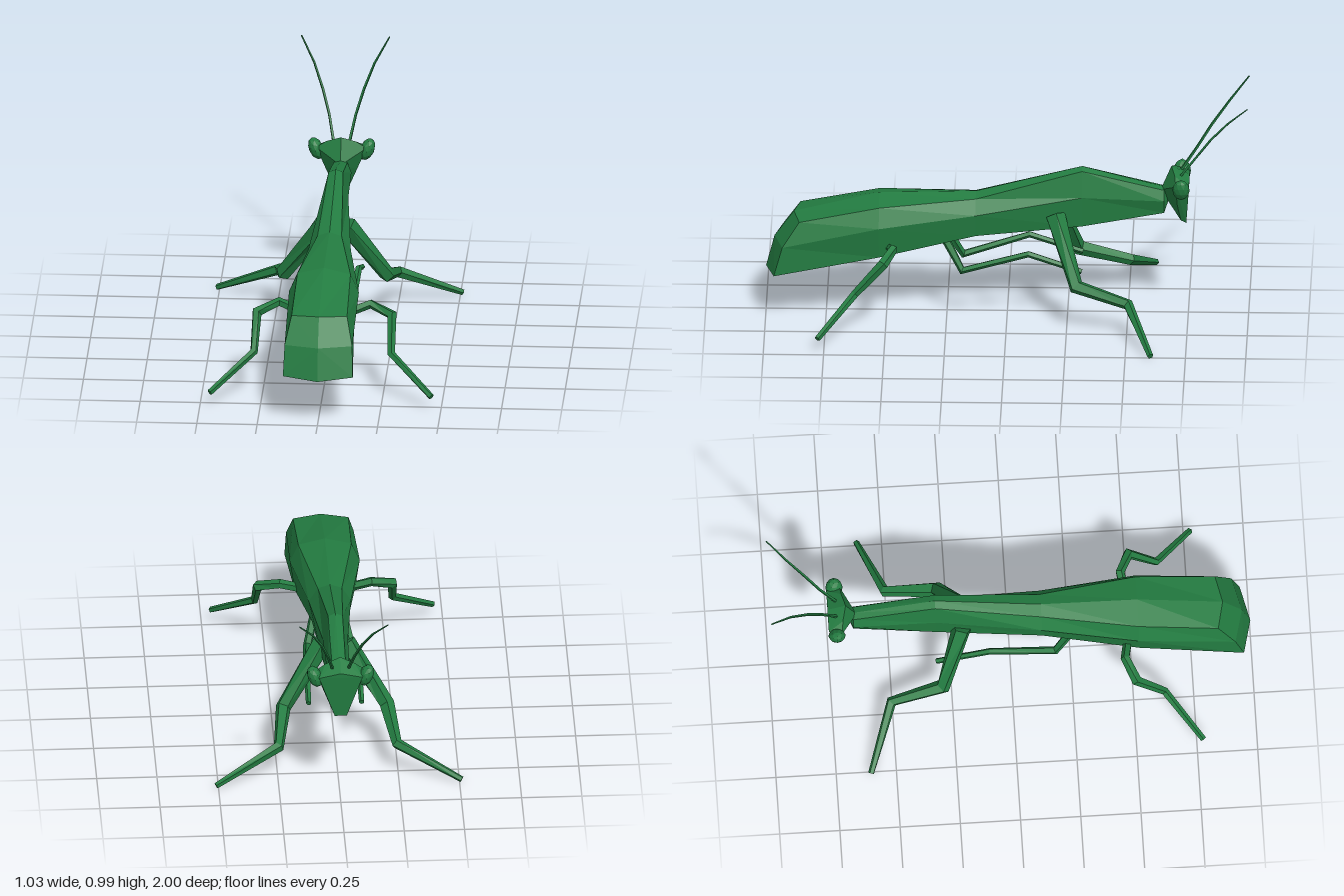
import * as THREE from 'three';
import { ConvexGeometry } from 'three/addons/geometries/ConvexGeometry.js';

const V = (x, y, z) => new THREE.Vector3(x, y, z);

// Skin a list of equal-sized rings and close both ends with fans
function loft(rings, startCentre, endCentre) {
  const pos = [];
  const tri = (...p) => p.forEach(q => pos.push(q.x, q.y, q.z));
  const n = rings[0].length, last = rings.length - 1;
  for (let j = 0; j < n; j++) {
    const k = (j + 1) % n;
    for (let i = 0; i < last; i++) {
      const a = rings[i], b = rings[i + 1];
      tri(a[j], a[k], b[k]);
      tri(a[j], b[k], b[j]);
    }
    tri(startCentre, rings[0][k], rings[0][j]);
    tri(endCentre, rings[last][j], rings[last][k]);
  }
  const g = new THREE.BufferGeometry();
  g.setAttribute('position', new THREE.Float32BufferAttribute(pos, 3));
  g.computeVertexNormals();
  return g;
}

// Jointed tapering limb with mitred joints
function limb(path, radii, sides) {
  const pts = path.map(p => V(...p));
  const dir = i => pts[i + 1].clone().sub(pts[i]).normalize();
  const rings = pts.map((p, i) => {
    const t = V(0, 0, 0);
    if (i > 0) t.add(dir(i - 1));
    if (i < pts.length - 1) t.add(dir(i));
    t.normalize();
    const u = V(0, 1, 0).cross(t).normalize();
    const v = t.clone().cross(u);
    return Array.from({ length: sides }, (_, j) => {
      const a = (j + 0.5) / sides * Math.PI * 2;
      return p.clone()
        .addScaledVector(u, Math.cos(a) * radii[i])
        .addScaledVector(v, Math.sin(a) * radii[i]);
    });
  });
  return loft(rings, pts[0], pts[pts.length - 1]);
}

export function createModel() {
  const model = new THREE.Group();
  model.name = 'mantis';
  const green = new THREE.MeshStandardMaterial({ color: 0x237c41, flatShading: true });
  green.name = 'leafGreen';
  const add = (name, geometry) => {
    const mesh = new THREE.Mesh(geometry, green);
    mesh.name = name;
    model.add(mesh);
    return mesh;
  };

  // Body: half sections (top, shoulder, side, lower edge, belly), tail to neck
  const flat = (z, ...p) => p.map(([x, y]) => [x, y, z]);
  const sections = [
    [[0, 0.44, 0.885], [0.115, 0.435, 0.86], [0.14, 0.33, 0.93], [0.145, 0.205, 0.965], [0, 0.195, 1]],
    flat(0.53, [0, 0.527], [0.11, 0.5], [0.145, 0.42], [0.125, 0.285], [0, 0.275]),
    flat(0.13, [0, 0.537], [0.05, 0.52], [0.088, 0.46], [0.075, 0.365], [0, 0.353]),
    flat(-0.31, [0, 0.652], [0.03, 0.64], [0.052, 0.53], [0.045, 0.4], [0, 0.39]),
    flat(-0.65, [0, 0.565], [0.028, 0.558], [0.045, 0.515], [0.03, 0.458], [0, 0.452]),
  ];
  const rings = sections.map(s => [
    ...s.map(p => V(...p)),
    ...s.slice(1, -1).reverse().map(([x, y, z]) => V(-x, y, z)),
  ]);
  add('body', loft(rings, V(0, 0.33, 0.965), V(0, 0.51, -0.67)));

  // Triangular head
  const head = [V(0, 0.657, -0.68), V(0, 0.62, -0.755), V(0, 0.55, -0.635)];
  for (const s of [1, -1]) {
    head.push(V(s * 0.06, 0.635, -0.695), V(s * 0.105, 0.605, -0.7), V(s * 0.09, 0.6, -0.755),
      V(s * 0.065, 0.51, -0.705), V(s * 0.03, 0.425, -0.72), V(s * 0.025, 0.412, -0.742));
  }
  add('head', new ConvexGeometry(head));

  // Paired parts
  const limbs = {
    frontLeg: [[[0.05, 0.45, -0.2], [0.215, 0.2, -0.29], [0.245, 0.135, -0.505], [0.51, 0.013, -0.605]],
      [0.042, 0.033, 0.024, 0.013], 5],
    middleLeg: [[[0.05, 0.36, 0.265], [0.09, 0.217, 0.185], [0.108, 0.3, -0.09], [0.11, 0.225, -0.31]],
      [0.02, 0.018, 0.014, 0.012], 5],
    rearLeg: [[[0.08, 0.31, 0.49], [0.19, 0.35, 0.47], [0.28, 0.318, 0.51], [0.285, 0.187, 0.625], [0.46, 0.057, 0.777]],
      [0.02, 0.02, 0.023, 0.017, 0.013], 5],
    antenna: [[[0.032, 0.62, -0.715], [0.055, 0.72, -0.785], [0.085, 0.81, -0.845], [0.125, 0.9, -0.917], [0.183, 0.988, -0.998]],
      [0.007, 0.006, 0.006, 0.005, 0.003], 4],
  };
  for (const [side, s] of [['left', 1], ['right', -1]]) {
    for (const [name, [path, radii, sides]] of Object.entries(limbs)) {
      const mirrored = path.map(([x, y, z]) => [x * s, y, z]);
      add(`${side} ${name}`, limb(mirrored, radii, sides));
    }
    // Bulging eye, tilted inwards at the bottom
    const eye = add(`${side} eye`, new THREE.IcosahedronGeometry(1, 1));
    eye.scale.set(0.03, 0.05, 0.036);
    eye.position.set(s * 0.106, 0.592, -0.722);
    eye.rotation.z = -s * 0.4;
  }
  return model;
}
